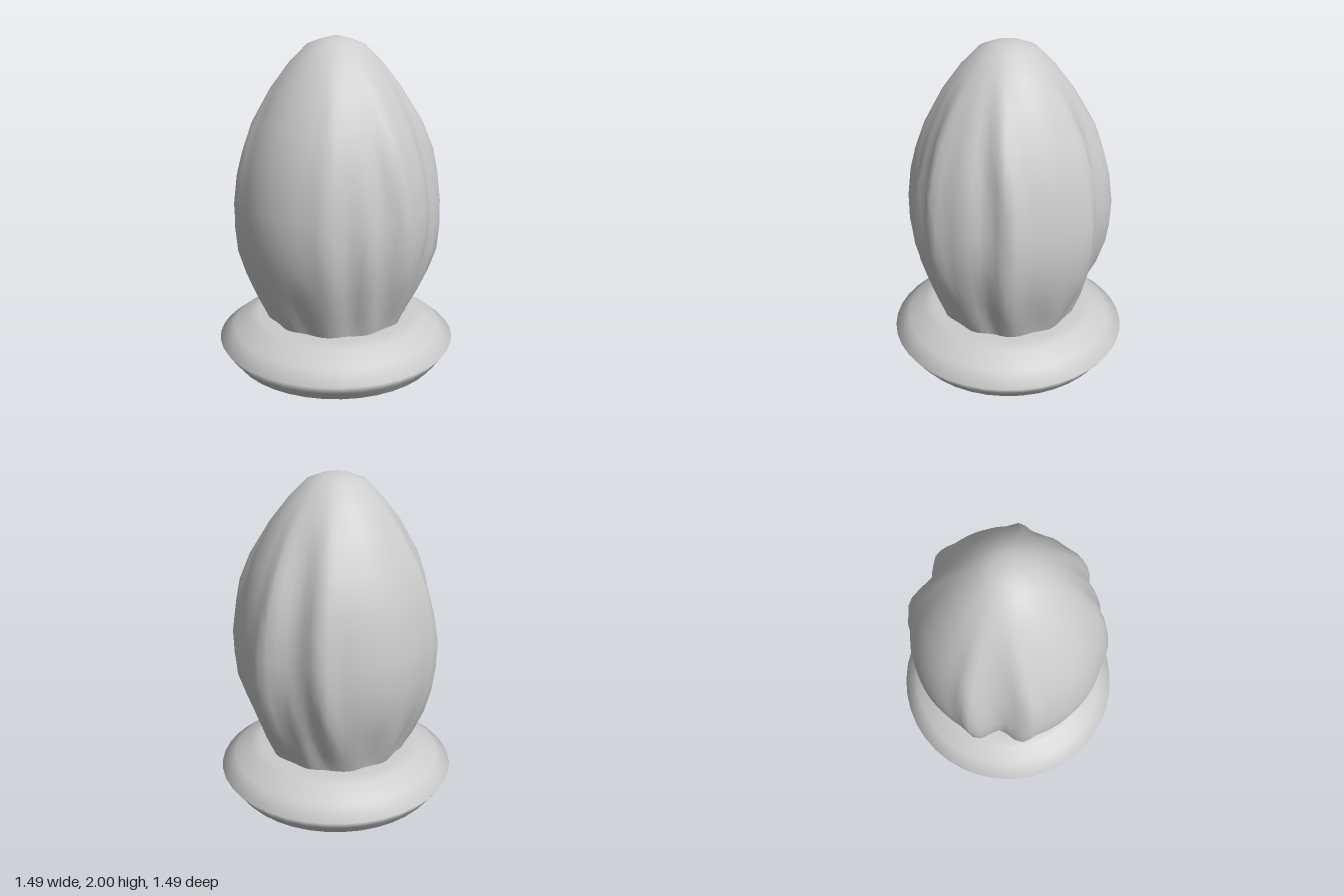
import * as THREE from 'three';
import { mergeVertices } from 'three/addons/utils/BufferGeometryUtils.js';

const V = (list) => list.map(([r, y]) => new THREE.Vector2(r, y));

// Bud outline as [radius, height]
const budProfile = [[0.42, 0.22], [0.44, 0.29], [0.485, 0.4], [0.54, 0.55], [0.585, 0.7], [0.605, 0.86],
  [0.605, 1.02], [0.58, 1.2], [0.545, 1.34], [0.49, 1.5], [0.385, 1.7], [0.28, 1.84], [0.17, 1.95], [0.09, 1.98], [0, 2]];

// Folded petal edges: angle from +x toward +z, height of the ridge, side of the hollow
const folds = [[-2.82, 0.03, 1], [-2.245, 0.035, -1], [-0.94, 0.035, 1], [-0.287, 0.035, -1],
  [0.62, 0.045, 1], [1.38, 0.03, 1], [2.15, 0.015, -1]];

const bump = (d, w) => Math.max(0, 1 - Math.abs(d) / w);
const wrap = (a) => Math.atan2(Math.sin(a), Math.cos(a));

function foldOffset(angle, y) {
  const fade = THREE.MathUtils.smoothstep(y, 0.2, 0.6) * (1 - THREE.MathUtils.smoothstep(y, 1.3, 1.88));
  let offset = 0;
  folds.forEach(([a, h, side], i) => {
    // Edges wander a little as they climb
    const d = wrap(angle - a - 0.05 * Math.sin(y * 4 + i * 1.7));
    offset += (h * bump(d, 0.16) - 0.03 * bump(d - side * 0.24, 0.18)) * fade;
  });
  // Small pleats gathered at the neck
  const neck = bump(y - 0.38, 0.25);
  return offset + 0.016 * neck * Math.cos(angle * 11 + 0.6);
}

function makeBud() {
  let geo = new THREE.LatheGeometry(V(budProfile), 72);
  const p = geo.attributes.position;
  for (let i = 0; i < p.count; i++) {
    const x = p.getX(i), y = p.getY(i), z = p.getZ(i), r = Math.hypot(x, z);
    if (r < 1e-4) continue;
    const k = 1 + foldOffset(Math.atan2(z, x), y) / r;
    p.setXYZ(i, x * k, y, z * k);
  }
  geo.deleteAttribute('normal');
  geo.deleteAttribute('uv');
  geo = mergeVertices(geo, 1e-4);
  geo.computeVertexNormals();
  return geo;
}

export function createModel() {
  const group = new THREE.Group();
  const grey = new THREE.MeshStandardMaterial({ color: 0xcccccc });
  grey.name = 'light grey';

  const add = (name, geo) => {
    const mesh = new THREE.Mesh(geo, grey);
    mesh.name = name;
    group.add(mesh);
    return mesh;
  };

  add('bud', makeBud());

  // Flared foot with a flat underside
  const rim = [[0.66, 0], [0.705, 0.06], [0.745, 0.12], [0.655, 0.19], [0.555, 0.255], [0.5, 0.272], [0.4, 0.275]];
  add('foot', new THREE.LatheGeometry(V(rim), 40));
  add('footUnderside', new THREE.CircleGeometry(0.66, 40).rotateX(Math.PI / 2));

  return group;
}
